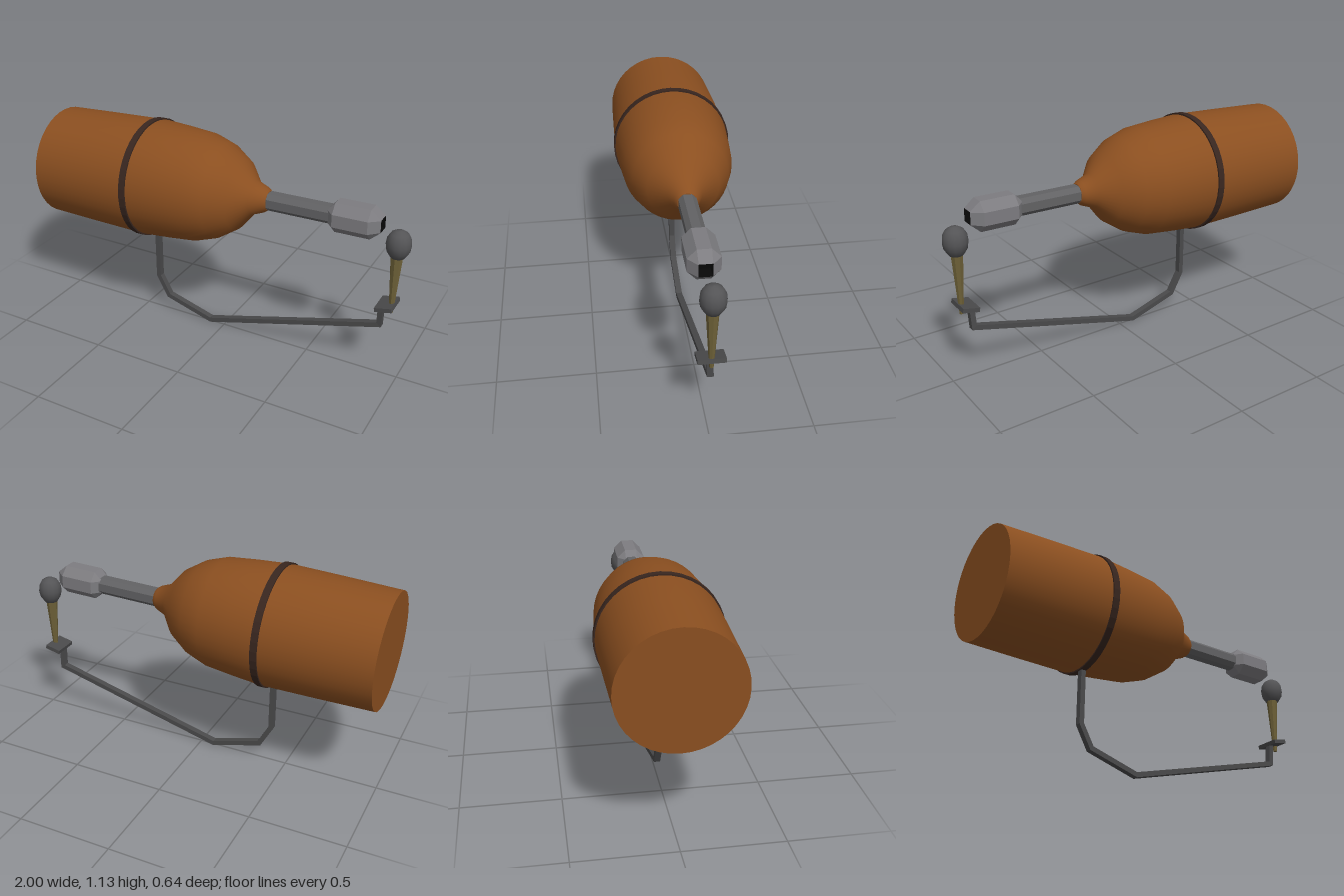
import * as THREE from 'three';

const BROWN = 0x8b4f20, LEATHER = 0x38261f, STEEL = 0x7d7c80, ROD = 0x626264,
  IRON = 0x4a4a4b, WOOD = 0x6e6138, HEAD = 0x545456, BLACK = 0x080808;

function add(parent, name, geometry, color, flat = true, options = {}) {
  const material = new THREE.MeshStandardMaterial({ flatShading: flat, ...options });
  material.color.set(color);
  const mesh = new THREE.Mesh(geometry, material);
  mesh.name = name;
  parent.add(mesh);
  return mesh;
}

// Skin over a list of equal-sized rings of [x, y, z] points
function loft(rings, capStart = true, capEnd = true) {
  const pos = [], n = rings[0].length, last = rings[rings.length - 1];
  const tri = (...pts) => pts.forEach((p) => pos.push(...p));
  for (let i = 0; i < rings.length - 1; i++) {
    for (let j = 0; j < n; j++) {
      const k = (j + 1) % n;
      const a = rings[i][j], b = rings[i][k], c = rings[i + 1][k], d = rings[i + 1][j];
      tri(a, b, c);
      tri(a, c, d);
    }
  }
  for (let j = 1; j < n - 1; j++) {
    if (capStart) tri(rings[0][0], rings[0][j + 1], rings[0][j]);
    if (capEnd) tri(last[0], last[j], last[j + 1]);
  }
  const g = new THREE.BufferGeometry();
  g.setAttribute('position', new THREE.Float32BufferAttribute(pos, 3));
  g.computeVertexNormals();
  return g;
}

// Octagon across x: h is the half width, c the half length of a side
const octagon = ([x, h, c]) => [
  [h, -c], [h, c], [c, h], [-c, h], [-h, c], [-h, -c], [-c, -h], [c, -h],
].map(([y, z]) => [x, y, z]);

// Turned shape lying along x, from [x, radius] pairs
function turned(profile, segments) {
  const g = new THREE.LatheGeometry(profile.map(([x, r]) => new THREE.Vector2(r, x)), segments);
  return g.rotateZ(-Math.PI / 2);
}

// Square bar with mitred bends
function bar(path, w, d) {
  const pts = path.map((p) => new THREE.Vector3(...p));
  const rings = pts.map((p, i) => {
    const before = pts[Math.max(i - 1, 0)], after = pts[Math.min(i + 1, pts.length - 1)];
    const a = p.clone().sub(before).setZ(0).normalize();
    const b = after.clone().sub(p).setZ(0).normalize();
    const t = a.clone().add(b).normalize();
    const miter = w / Math.max(t.dot(i ? a : b), 0.5);
    return [[1, -1], [1, 1], [-1, 1], [-1, -1]].map(([s, q]) =>
      [p.x - t.y * miter * s, p.y + t.x * miter * s, p.z + d * q]);
  });
  return loft(rings);
}

export function createModel() {
  const model = new THREE.Group();
  model.name = 'fuelTorch';

  // Tank and nozzle share one slightly tilted axis
  const tank = new THREE.Group();
  tank.name = 'tankAndNozzle';
  tank.position.set(-0.994, 0.805, -0.005);
  tank.rotation.set(0, -0.006, 0.024);
  model.add(tank);

  add(tank, 'tankBody', turned([
    [0, 0.295], [0.29, 0.304], [0.575, 0.311], [0.73, 0.3], [0.885, 0.285], [0.995, 0.249],
    [1.095, 0.184], [1.175, 0.088], [1.235, 0.065], [1.255, 0.05],
  ], 40), BROWN, false);
  const bottom = add(tank, 'tankBottom', new THREE.CircleGeometry(0.295, 40), BROWN, false);
  bottom.rotation.y = -Math.PI / 2;
  const neck = add(tank, 'neckCap', new THREE.CircleGeometry(0.05, 40), BROWN, false);
  neck.rotation.y = Math.PI / 2;
  neck.position.x = 1.255;

  // Strap round the widest part
  add(tank, 'strap', turned([
    [0.555, 0.305], [0.555, 0.318], [0.59, 0.318], [0.59, 0.305],
  ], 40), LEATHER);

  // Nozzle with a hollow, bevelled tip
  add(tank, 'nozzleRod', loft([[1.24, 0.045, 0.022], [1.6, 0.045, 0.022]].map(octagon)), ROD);
  add(tank, 'nozzleTip', loft([
    [1.584, 0.038, 0.032], [1.62, 0.077, 0.033], [1.8, 0.077, 0.033], [1.851, 0.033, 0.031],
  ].map(octagon), true, false), STEEL);
  add(tank, 'nozzleBore', loft([
    [1.851, 0.033, 0.031], [1.79, 0.03, 0.028],
  ].map(octagon), false, true), BLACK);

  // Bent arm from the strap to the igniter
  add(model, 'supportArm', bar([
    [-0.413, 0.5, 0], [-0.413, 0.215, 0], [-0.35, 0.1, 0], [-0.08, 0.02, 0],
    [0.88, 0.285, -0.018], [0.884, 0.41, -0.01],
  ], 0.013, 0.016), IRON);
  const plate = add(model, 'igniterPlate', new THREE.BoxGeometry(0.088, 0.022, 0.133), IRON);
  plate.position.set(0.909, 0.41, -0.014);
  plate.rotation.z = 0.22;

  // Igniter: tapered stick with a rounded head
  const stick = add(model, 'igniterStick', new THREE.CylinderGeometry(0.032, 0.011, 0.33, 8), WOOD);
  stick.position.set(0.932, 0.538, -0.014);
  const head = add(model, 'igniterHead', new THREE.LatheGeometry([
    [0, 0.683], [0.036, 0.686], [0.057, 0.72], [0.062, 0.752], [0.058, 0.785],
    [0.043, 0.811], [0.02, 0.825], [0, 0.828],
  ].map(([r, y]) => new THREE.Vector2(r, y)), 14), HEAD, false);
  head.position.set(0.935, 0, -0.015);

  return model;
}
